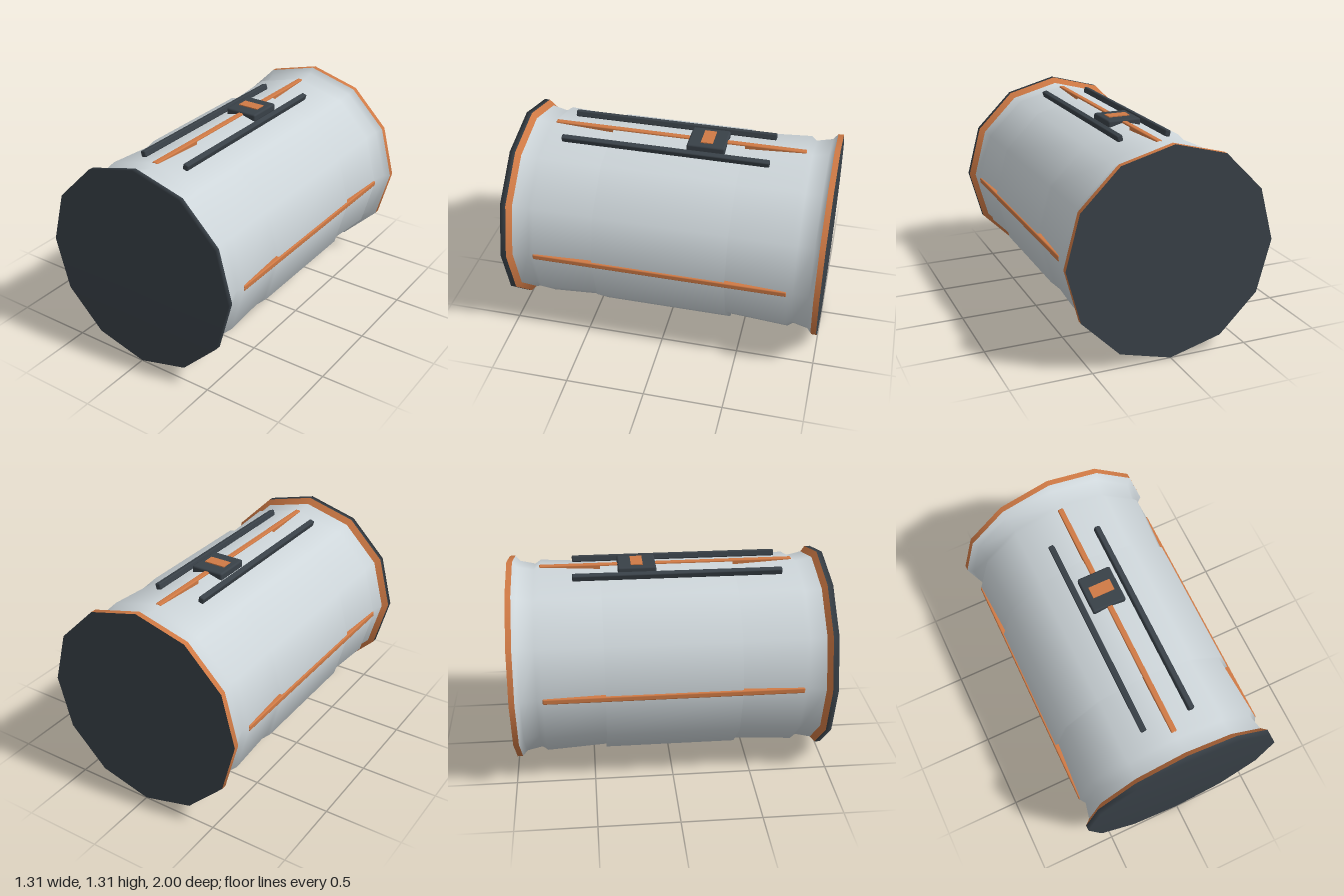
import * as THREE from 'three';
import { RoundedBoxGeometry } from 'three/addons/geometries/RoundedBoxGeometry.js';

const CENTER_Y = 0.657;
const RIM = 0.657;

export function createModel() {
  const group = new THREE.Group();
  group.name = 'canister';

  const mat = (name, color) => {
    const m = new THREE.MeshStandardMaterial({ color });
    m.name = name;
    return m;
  };
  const shell = mat('light grey shell', 0xced6da);
  const dark = mat('charcoal', 0x394148);
  const orange = mat('burnt orange', 0xd07a45);

  const add = (name, geometry, material, parent = group) => {
    const mesh = new THREE.Mesh(geometry, material);
    mesh.name = name;
    parent.add(mesh);
    return mesh;
  };

  // Twelve-sided turned part along z, profile given as [radius, z] from back to front
  const turned = (name, profile, material) => {
    const geo = new THREE.LatheGeometry(profile.map(([r, z]) => new THREE.Vector2(r, z)), 12);
    geo.rotateX(Math.PI / 2);
    add(name, geo, material).position.y = CENTER_Y;
  };

  // Shell: flared back end, grooves near both ends, stepped middle sleeve
  turned('shell', [
    [RIM, -0.965], [0.622, -0.935], [0.6, -0.835], [0.625, -0.8], [0.603, -0.42],
    [0.622, -0.42], [0.622, 0.42],
    [0.603, 0.42], [0.625, 0.8], [0.6, 0.835], [0.622, 0.935],
  ], shell);

  // End rims and caps
  turned('frontFlare', [[0.622, 0.935], [RIM, 0.965]], orange);
  turned('frontCap', [[RIM, 0.965], [RIM, 1], [0, 1]], dark);
  turned('backRim', [[RIM, -1], [RIM, -0.965]], orange);
  turned('backCap', [[0, -1], [RIM, -1]], dark);

  // Four long trim strips around the shell
  for (let i = 0; i < 4; i++) {
    const pivot = new THREE.Group();
    pivot.name = 'trimStrip' + (i + 1);
    pivot.position.y = CENTER_Y;
    pivot.rotation.z = (i * Math.PI) / 2;
    group.add(pivot);
    add('strip', new RoundedBoxGeometry(0.036, 0.036, 1.6, 2, 0.008), orange, pivot)
      .position.y = 0.61;
  }

  // Two rails on top, tilted to the shell facets
  for (const side of [-1, 1]) {
    const rail = add(side > 0 ? 'leftRail' : 'rightRail',
      new RoundedBoxGeometry(0.036, 0.04, 1.31, 2, 0.008), dark);
    rail.position.set(side * 0.155, 1.26, 0.06);
    rail.rotation.z = -side * Math.PI / 12;
  }

  // Control panel with its display
  add('controlPanel', new RoundedBoxGeometry(0.216, 0.05, 0.24, 2, 0.012), dark)
    .position.set(0, 1.269, -0.19);
  add('display', new THREE.BoxGeometry(0.14, 0.008, 0.075), orange)
    .position.set(0, 1.296, -0.19);

  return group;
}
